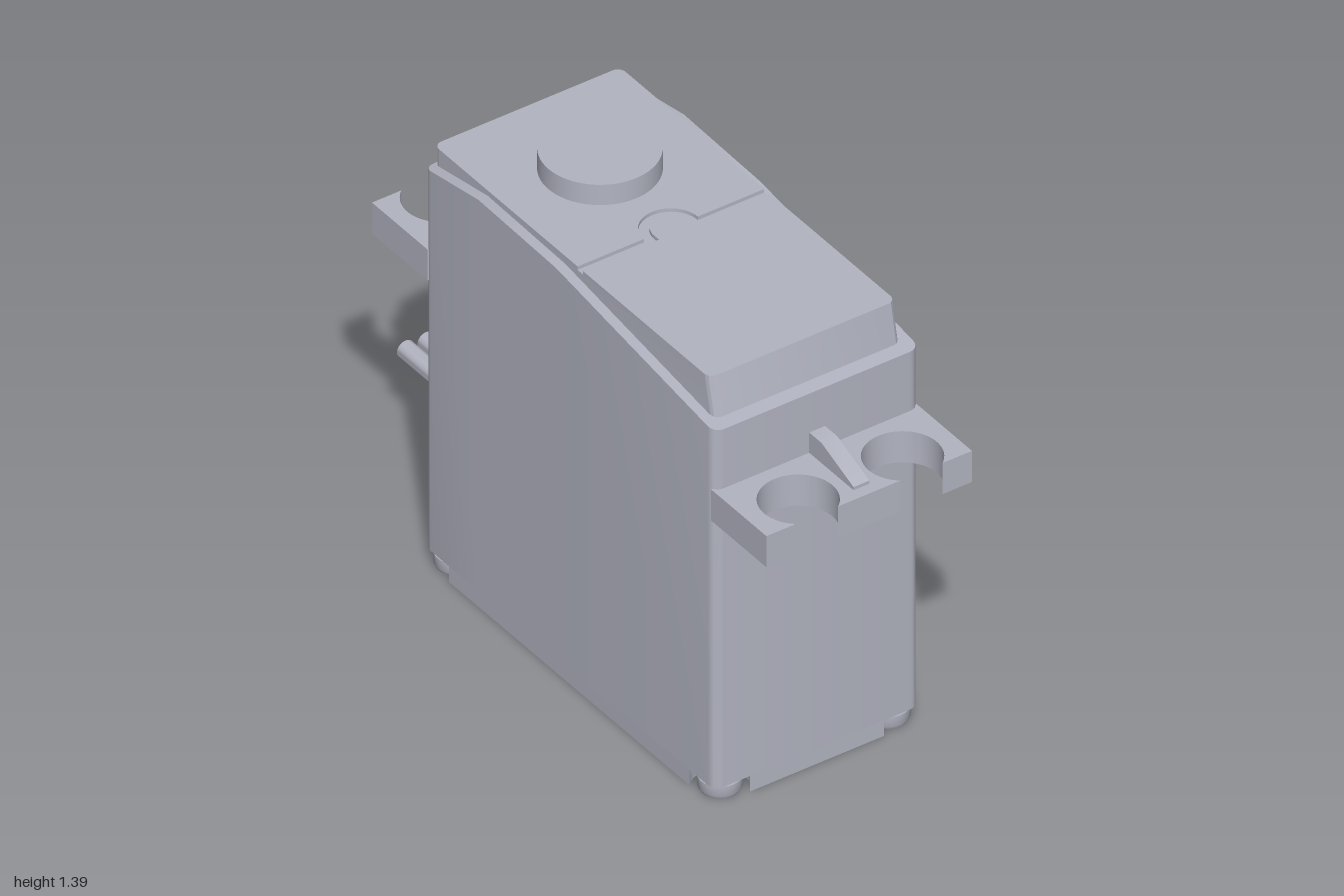
import * as THREE from 'three';
import { toCreasedNormals } from 'three/addons/utils/BufferGeometryUtils.js';

const HALF_W = 0.325;            // case half width
const MID_Z = 0.11;              // centre of the case along z
const HALF_L = 0.655;            // case half length

export function createModel() {
  const model = new THREE.Group();
  model.name = 'servoMotor';
  const grey = new THREE.MeshStandardMaterial({ color: 0xb2b4c1 });
  grey.name = 'caseGrey';

  const add = (name, geometry, parent = model) => {
    const mesh = new THREE.Mesh(toCreasedNormals(geometry, 0.6), grey);
    mesh.name = name;
    parent.add(mesh);
    return mesh;
  };

  // Plan shape (x, z) extruded between two heights
  const slab = (shape, bottom, top) => {
    const g = new THREE.ExtrudeGeometry(shape, { depth: top - bottom, bevelEnabled: false, curveSegments: 24 });
    return g.rotateX(Math.PI / 2).translate(0, top, 0);
  };
  // Side profile (z, y) extruded across x
  const sideProfile = (points, width) => {
    const shape = new THREE.Shape(points.map(([z, y]) => new THREE.Vector2(z, y)));
    const g = new THREE.ExtrudeGeometry(shape, { depth: width, bevelEnabled: false });
    return g.rotateY(-Math.PI / 2).translate(width / 2, 0, 0);
  };

  // Case: rectangular sections along z, narrowing at the rounded upright edges
  const topLine = [[-0.545, 1.265], [-0.3, 1.308], [0.05, 1.3], [0.765, 1.2]];
  const topAt = (z) => {
    let i = 0;
    while (i < 2 && z > topLine[i + 1][0]) i++;
    const [z0, y0] = topLine[i], [z1, y1] = topLine[i + 1];
    return y0 + (y1 - y0) * (z - z0) / (z1 - z0);
  };
  const r = 0.03, stations = [];
  for (let k = 0; k <= 5; k++) {
    const a = k / 5 * Math.PI / 2;
    stations.push([MID_Z - HALF_L + r * (1 - Math.cos(a - 0)), HALF_W - r + r * Math.sin(a)]);
  }
  const frontEnd = stations.map(([z, w]) => [2 * MID_Z - z, w]).reverse();
  stations.push([-0.3, HALF_W], [0.05, HALF_W], ...frontEnd);
  const rings = stations.map(([z, w]) => {
    const t = topAt(z);
    return [[-w, 0.05, z], [w, 0.05, z], [w, t, z], [-w, t, z]];
  });
  const pos = [];
  const quad = (a, b, c, d) => pos.push(...a, ...b, ...c, ...a, ...c, ...d);
  for (let i = 0; i < rings.length - 1; i++) {
    for (let j = 0; j < 4; j++) {
      const n = (j + 1) % 4;
      quad(rings[i][j], rings[i][n], rings[i + 1][n], rings[i + 1][j]);
    }
  }
  quad(...rings[rings.length - 1]);
  quad(...[...rings[0]].reverse());
  const caseGeometry = new THREE.BufferGeometry();
  caseGeometry.setAttribute('position', new THREE.Float32BufferAttribute(pos, 3));
  add('case', caseGeometry);

  // Base plate with round notches at its corners
  const fx = HALF_W - 0.06, fz = HALF_L - 0.06, notch = 0.08;
  const start = -Math.acos(0.06 / notch), sweep = Math.PI * 1.5 + 2 * start;
  const corner = [];
  for (let k = 0; k <= 16; k++) {
    const a = start - (Math.PI * 2 - (Math.PI / 2 - 2 * start)) * k / 16;
    corner.push([fx + notch * Math.cos(a), fz + notch * Math.sin(a)]);
  }
  const basePoints = [];
  for (const [sx, sz] of [[1, 1], [-1, 1], [-1, -1], [1, -1]]) {
    const pts = corner.map(([x, z]) => new THREE.Vector2(sx * x, MID_Z + sz * z));
    basePoints.push(...(sx * sz > 0 ? pts : pts.reverse()));
  }
  add('basePlate', slab(new THREE.Shape(basePoints), 0, 0.05));

  // Screw heads in the corner notches
  const footProfile = [[0, 0], [0.045, 0], [0.055, 0.004], [0.06, 0.014], [0.06, 0.045], [0.035, 0.045], [0.035, 0.055]]
    .map(([x, y]) => new THREE.Vector2(x, y));
  for (const sx of [-1, 1]) for (const sz of [-1, 1]) {
    add('screwHead', new THREE.LatheGeometry(footProfile, 32)).position.set(sx * fx, 0, MID_Z + sz * fz);
  }

  // Cap: lower block and two top plates separated by a shallow groove
  const cw = 0.295, front = 0.725, back = -0.545, cr = 0.025;
  const frontEdge = (s) => {
    s.lineTo(cw, front - cr);
    s.absarc(cw - cr, front - cr, cr, 0, Math.PI / 2, false);
    s.lineTo(-cw + cr, front);
    s.absarc(-cw + cr, front - cr, cr, Math.PI / 2, Math.PI, false);
  };
  const backEdge = (s) => {
    s.lineTo(-cw, back + cr);
    s.absarc(-cw + cr, back + cr, cr, Math.PI, Math.PI * 1.5, false);
    s.lineTo(cw - cr, back);
    s.absarc(cw - cr, back + cr, cr, Math.PI * 1.5, Math.PI * 2, false);
  };
  const lean = (g) => {          // slope the front face backwards
    const p = g.attributes.position;
    for (let i = 0; i < p.count; i++) {
      if (p.getZ(i) > 0.6) p.setZ(i, p.getZ(i) - (p.getY(i) - 1.2) * 0.2);
    }
    return g;
  };
  const block = new THREE.Shape().moveTo(cw, 0);
  frontEdge(block);
  backEdge(block);
  add('capBlock', lean(slab(block, 1.18, 1.314)));

  const frontPlate = new THREE.Shape().moveTo(cw, 0.13);
  frontEdge(frontPlate);
  frontPlate.lineTo(-cw, 0.13).lineTo(-0.055, 0.13).lineTo(-0.055, 0.105);
  frontPlate.absarc(0, 0.105, 0.055, Math.PI, Math.PI * 2, false);
  frontPlate.lineTo(0.055, 0.13);
  add('capFrontPlate', lean(slab(frontPlate, 1.314, 1.325)));

  const backPlate = new THREE.Shape().moveTo(-cw, 0.105);
  backEdge(backPlate);
  backPlate.lineTo(cw, 0.105).lineTo(0.085, 0.105);
  backPlate.absarc(0, 0.105, 0.085, 0, Math.PI, true);
  add('capBackPlate', slab(backPlate, 1.314, 1.325));

  // Output boss
  add('outputBoss', new THREE.CylinderGeometry(0.163, 0.163, 0.07, 64)).position.set(0, 1.355, -0.215);

  // Mounting ears with open screw holes and a stiffening rib, one at each end
  const earEnd = 0.89, holeZ = 0.805, holeR = 0.108, holeX = 0.165;
  const half = Math.acos((earEnd - holeZ) / holeR);
  const ear = new THREE.Shape().moveTo(-HALF_W, 0.64).lineTo(HALF_W, 0.64).lineTo(HALF_W, earEnd);
  for (const x of [holeX, -holeX]) {
    ear.absarc(x, holeZ, holeR, Math.PI / 2 - half, Math.PI / 2 + half - Math.PI * 2, true);
  }
  ear.lineTo(-HALF_W, earEnd);
  const rib = [[0.64, 1.0], [0.855, 1.0], [0.855, 1.02], [0.71, 1.075], [0.64, 1.075]];
  for (const [name, turn] of [['frontEar', 0], ['backEar', Math.PI]]) {
    const group = new THREE.Group();
    group.name = name;
    group.position.z = MID_Z;
    group.rotation.y = turn;
    add('earPlate', slab(ear, 0.91, 1.01), group);
    add('earRib', sideProfile(rib, 0.05), group);
    model.add(group);
  }

  // Cable strain relief and three wires at the back
  add('strainRelief', sideProfile([
    [-0.53, 0.235], [-0.53, 0.36], [-0.6, 0.36], [-0.6, 0.345],
    [-0.735, 0.328], [-0.735, 0.265], [-0.6, 0.25], [-0.6, 0.235],
  ], 0.26));
  for (const x of [-0.065, 0, 0.065]) {
    add('wire', new THREE.CylinderGeometry(0.027, 0.027, 0.28, 24).rotateX(Math.PI / 2)).position.set(x, 0.297, -0.86);
  }
  return model;
}
